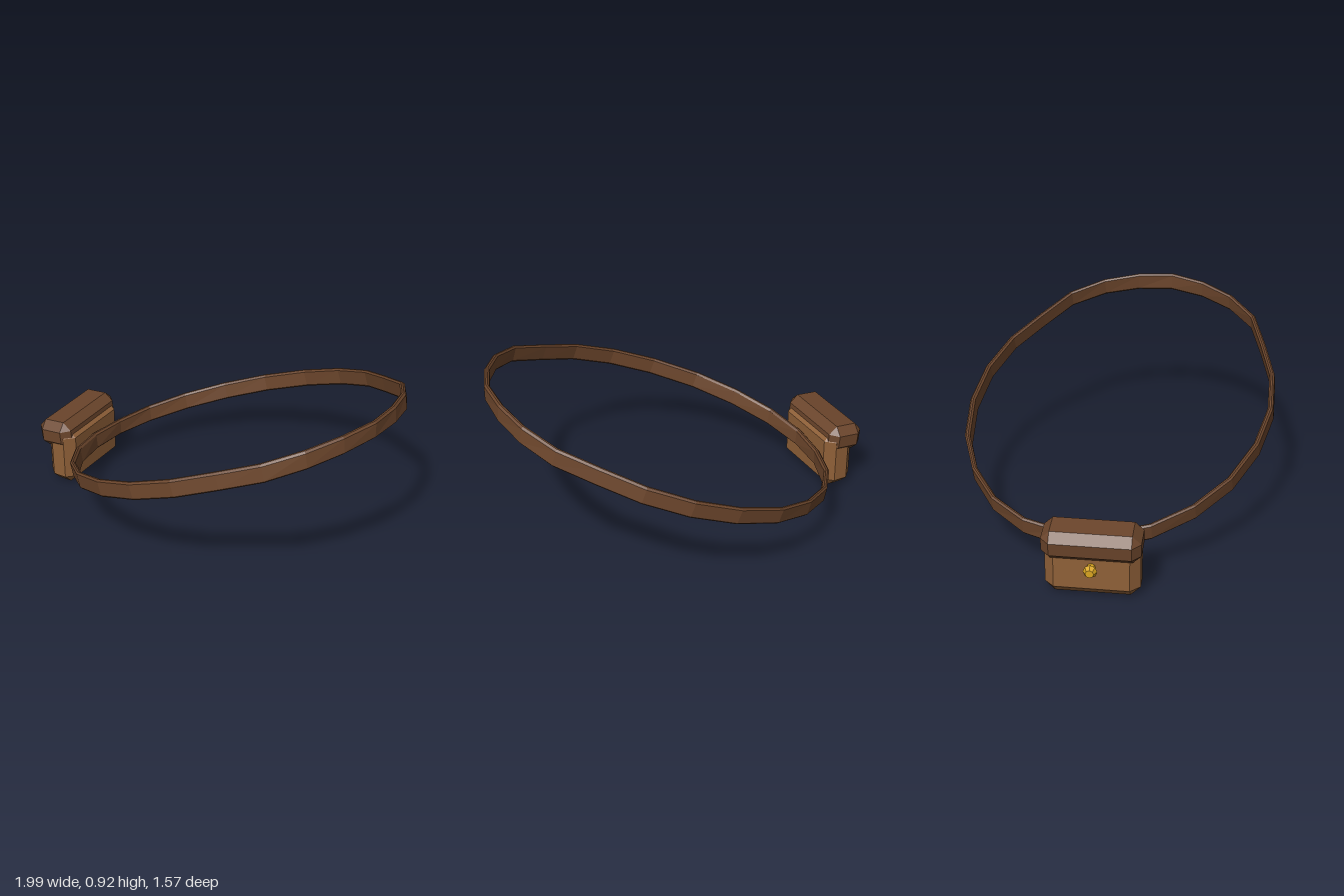
import * as THREE from 'three';
import { ConvexGeometry } from 'three/addons/geometries/ConvexGeometry.js';

const mat = (color) => new THREE.MeshStandardMaterial({ color, flatShading: true });

// Box given by half sizes, with every edge cut by c
function chamferBox(a, b, d, c) {
  const pts = [];
  for (const x of [-1, 1]) for (const y of [-1, 1]) for (const z of [-1, 1]) {
    pts.push(new THREE.Vector3(x * a, y * (b - c), z * (d - c)));
    pts.push(new THREE.Vector3(x * (a - c), y * b, z * (d - c)));
    pts.push(new THREE.Vector3(x * (a - c), y * (b - c), z * d));
  }
  return new ConvexGeometry(pts);
}

// Closed strap: a bevelled section swept round the tilted loop
function strapGeometry() {
  const half = [[-0.76, 0], [-0.73, 0.21], [-0.635, 0.41], [-0.48, 0.58], [-0.285, 0.705], [-0.052, 0.775],
    [0.18, 0.785], [0.4, 0.735], [0.59, 0.635], [0.77, 0.53], [0.89, 0.37], [0.96, 0.19], [0.99, 0]];
  const loop = [...half.map(([x, z]) => [x, -z]), ...half.slice(1, -1).reverse()];
  const T = 0.027, H = 0.045, B = 0.009;
  // [inward, up] from outer lower edge, going up and round
  const section = [[0, B - H], [0, H - B], [B, H], [T - B, H], [T, H - B], [T, B - H], [T - B, -H], [B, -H]];
  const n = loop.length, m = section.length, pos = [], idx = [];
  loop.forEach(([x, z], i) => {
    const p = loop[(i + n - 1) % n], q = loop[(i + 1) % n];
    const out = new THREE.Vector2(q[1] - p[1], p[0] - q[0]).normalize();
    const t = (x + 0.76) / 1.75;
    const y = 0.19 + 0.68 * t - 0.04 * t * (1 - t);
    const lean = 0.36 * Math.abs(out.y);
    const rise = Math.sqrt(1 - lean * lean);
    for (const [u, v] of section) pos.push(x - out.x * u - lean * v, y + rise * v, z - out.y * u);
    for (let k = 0; k < m; k++) {
      const a = i * m + k, b = i * m + (k + 1) % m;
      const c = ((i + 1) % n) * m + k, d = ((i + 1) % n) * m + (k + 1) % m;
      idx.push(a, b, c, b, d, c);
    }
  });
  const g = new THREE.BufferGeometry();
  g.setAttribute('position', new THREE.Float32BufferAttribute(pos, 3));
  g.setIndex(idx);
  g.computeVertexNormals();
  return g;
}

export function createModel() {
  const model = new THREE.Group();
  const add = (parent, name, geo, material, x = 0, y = 0, z = 0) => {
    const mesh = new THREE.Mesh(geo, material);
    mesh.name = name;
    mesh.position.set(x, y, z);
    parent.add(mesh);
    return mesh;
  };
  const dark = mat(0x6b452b), light = mat(0x8f6038), gold = mat(0xd9a520);

  add(model, 'beltStrap', strapGeometry(), dark);

  // Pouch hanging on the belt, turned to follow it
  const pouch = new THREE.Group();
  pouch.name = 'pouch';
  pouch.position.set(-0.83, 0, 0.19);
  pouch.rotation.y = 0.21;
  model.add(pouch);

  add(pouch, 'pouchBody', chamferBox(0.084, 0.165, 0.227, 0.047), light, 0, 0.165, 0);
  const lid = add(pouch, 'pouchLid', chamferBox(0.1, 0.075, 0.235, 0.042), dark, -0.032, 0.283, 0);
  lid.rotation.z = 0.1;

  // Stud fastener on the outer face
  const clasp = new THREE.Group();
  clasp.name = 'clasp';
  clasp.position.set(-0.08, 0.165, 0);
  clasp.rotation.z = Math.PI / 2;
  pouch.add(clasp);
  add(clasp, 'studStem', new THREE.CylinderGeometry(0.018, 0.022, 0.045, 8), gold, 0, 0.02, 0);
  add(clasp, 'studHead', new THREE.CylinderGeometry(0.02, 0.034, 0.024, 8), gold, 0, 0.053, 0);
  add(clasp, 'studCollar', new THREE.CylinderGeometry(0.034, 0.026, 0.012, 8), gold, 0, 0.035, 0);

  return model;
}
